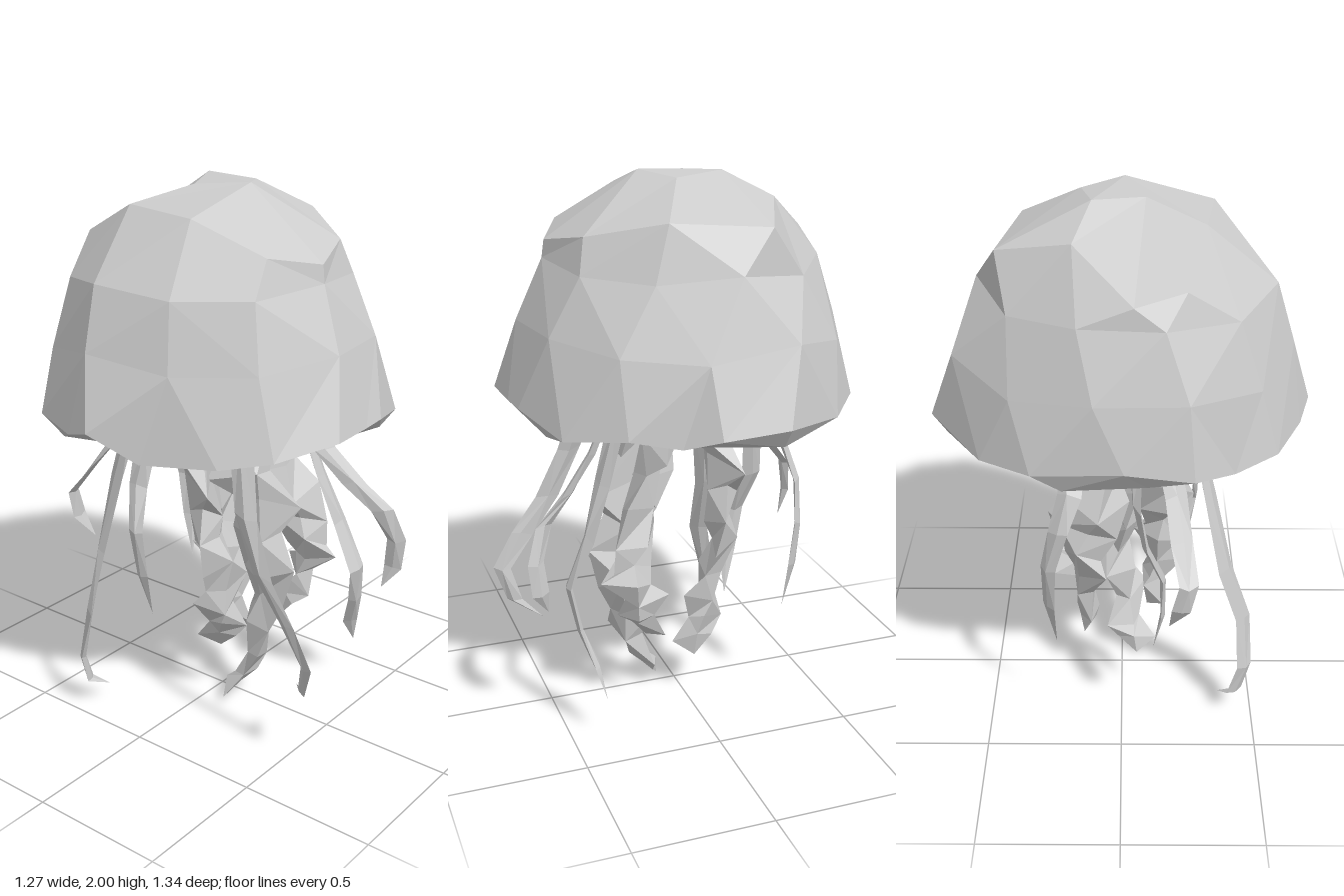
import * as THREE from 'three';

const TAU = Math.PI * 2;

// Ring through given x, y, z corners, sorted around the axis; f is the turn from 0 to 1
function corners(points) {
  return points.map(p => ({ f: (Math.atan2(p[2], p[0]) / TAU + 1) % 1, p })).sort((a, b) => a.f - b.f);
}

// Wavy rim of the bell
const RIM = corners([[0.62, 1.22, 0], [0.63, 1.22, 0.18], [0.51, 1.18, 0.38], [0.37, 1.16, 0.5],
  [0.12, 1.15, 0.6], [-0.05, 1.24, 0.67], [-0.17, 1.2, 0.63], [-0.4, 1.2, 0.53], [-0.5, 1.18, 0.38],
  [-0.63, 1.22, 0.24], [-0.635, 1.25, 0.01], [-0.57, 1.21, -0.3], [-0.43, 1.19, -0.48],
  [-0.17, 1.23, -0.67], [0.06, 1.21, -0.65], [0.17, 1.17, -0.57], [0.34, 1.2, -0.52],
  [0.52, 1.17, -0.36], [0.61, 1.22, -0.11]]);

function rimRadius(turn) {
  const t = (turn + 1) % 1;
  const n = RIM.length;
  const next = RIM.findIndex(v => v.f > t);
  const j = next < 0 ? 0 : next;
  const a = RIM[(j + n - 1) % n], b = RIM[j];
  const k = ((t - a.f + 1) % 1) / ((b.f - a.f + 1) % 1);
  return THREE.MathUtils.lerp(Math.hypot(a.p[0], a.p[2]), Math.hypot(b.p[0], b.p[2]), k);
}

// Ring following the rim outline: count, scale, height, turn, height ripple, x and z shift
function ring(count, scale, y, turn = 0, ripple = 0, dx = 0, dz = 0) {
  return Array.from({ length: count }, (_, i) => {
    const f = (i + turn) / count;
    const r = rimRadius(f) * scale;
    return { f, p: [Math.cos(f * TAU) * r + dx, y + ripple * Math.sin(i * 2.4 + 1), Math.sin(f * TAU) * r + dz] };
  });
}

// Joins two rings that may have different numbers of points
function stitch(low, up, out) {
  const at = (r, i) => r[i % r.length];
  const turn = (r, i) => at(r, i).f + Math.floor(i / r.length);
  let i = 0, j = 0;
  while (i < low.length || j < up.length) {
    const stepLow = j >= up.length || (i < low.length && turn(low, i + 1) <= turn(up, j + 1));
    if (stepLow) { out.push(...at(low, i).p, ...at(up, j).p, ...at(low, i + 1).p); i++; }
    else { out.push(...at(low, i).p, ...at(up, j).p, ...at(up, j + 1).p); j++; }
  }
}

function loftRings(rings) {
  const out = [];
  for (let k = 0; k < rings.length - 1; k++) stitch(rings[k], rings[k + 1], out);
  return out;
}

function meshFrom(name, positions, material) {
  const g = new THREE.BufferGeometry();
  g.setAttribute('position', new THREE.Float32BufferAttribute(positions, 3));
  g.computeVertexNormals();
  const m = new THREE.Mesh(g, material);
  m.name = name;
  return m;
}

// Tapered four-sided strand; wide and thin give its section, twist turns it, ruffle makes it jagged
function strand(name, points, { wide, thin, twist, ruffle, segments, material }) {
  const curve = new THREE.CatmullRomCurve3(points.map(p => new THREE.Vector3(...p)));
  const sections = [];
  for (let s = 0; s <= segments; s++) {
    const t = s / segments;
    const c = curve.getPoint(t);
    const taper = s === segments ? 0 : Math.min(0.6 + t * 2, 1.15 - 0.6 * t);
    const a0 = twist[0] + twist[1] * t;
    sections.push([0, 1, 2, 3].map(q => {
      const a = a0 + q * Math.PI / 2;
      const r = (q % 2 ? thin : wide) * taper * (1 + ruffle * Math.sin(s * 2.6 + q * 1.9));
      return [c.x + Math.cos(a) * r, c.y + ruffle * 0.08 * taper * Math.sin(s * 1.7 + q * 2.5), c.z + Math.sin(a) * r];
    }));
  }
  const out = [];
  for (let s = 0; s < segments; s++) {
    for (let q = 0; q < 4; q++) {
      const a = sections[s][q], b = sections[s][(q + 1) % 4];
      const c = sections[s + 1][q], d = sections[s + 1][(q + 1) % 4];
      if ((s + q) % 2) out.push(...a, ...b, ...c, ...b, ...d, ...c);
      else out.push(...a, ...b, ...d, ...a, ...d, ...c);
    }
  }
  return meshFrom(name, out, material);
}

export function createModel() {
  const model = new THREE.Group();
  model.name = 'jellyfish';
  const material = new THREE.MeshStandardMaterial({ color: 0xcccccc, flatShading: true, side: THREE.DoubleSide });
  material.name = 'pale grey';

  // Bell: faceted dome with a wavy rim and an uneven crown
  const crown = corners([[0.12, 1.92, 0.32], [-0.18, 1.93, 0.28], [-0.44, 1.8, 0.21], [-0.5, 1.77, 0.04],
    [-0.31, 1.91, -0.16], [-0.2, 1.85, -0.42], [0.14, 1.87, -0.35], [0.38, 1.81, -0.17],
    [0.46, 1.77, 0.05], [0.37, 1.81, 0.24]]);
  const peak = corners([[0.13, 2, 0.01], [-0.06, 1.985, 0.08], [-0.14, 2, -0.1], [0.04, 1.985, -0.14]]);
  model.add(meshFrom('bell', loftRings([
    RIM,
    ring(12, 0.91, 1.46, 0.3, 0.03, -0.015),
    ring(11, 0.78, 1.69, 0.1, 0.02, -0.02, 0.025),
    crown,
    peak,
    [{ f: 0, p: [0, 2, -0.04] }],
  ]), material));

  // Underside: lip tucked in below the rim, then the hollow
  model.add(meshFrom('bellUnderside', loftRings([
    [{ f: 0, p: [0, 1.56, 0] }],
    ring(8, 0.55, 1.49, 0.3),
    ring(11, 0.82, 1.35, 0.1, 0.02),
    ring(13, 0.93, 1.175, 0.2, 0.03),
    RIM,
  ]), material));

  // Thin trailing tentacles
  const tentacles = [
    [[-0.15, 1.5, 0.1], [-0.27, 1.18, 0.15], [-0.41, 0.95, 0.2], [-0.57, 0.73, 0.23], [-0.51, 0.56, 0.17]],
    [[-0.14, 1.5, -0.12], [-0.25, 1.16, -0.16], [-0.39, 0.95, -0.2], [-0.39, 0.68, -0.27], [-0.35, 0.37, -0.24]],
    [[-0.14, 1.5, 0.02], [-0.23, 1.15, 0.05], [-0.36, 0.87, 0.06], [-0.3, 0.58, 0.16], [-0.26, 0.27, 0.12]],
    [[-0.12, 1.5, 0.18], [-0.22, 1.1, 0.28], [-0.27, 0.7, 0.37], [-0.28, 0.38, 0.46], [-0.32, 0.13, 0.45], [-0.27, 0.07, 0.37]],
    [[0.16, 1.5, -0.1], [0.29, 1.05, -0.15], [0.38, 0.78, -0.2], [0.48, 0.53, -0.22], [0.41, 0.33, -0.28], [0.38, 0.17, -0.36]],
    [[0.18, 1.5, -0.08], [0.3, 1.14, -0.12], [0.44, 0.94, -0.18], [0.58, 0.8, -0.24], [0.6, 0.62, -0.28], [0.56, 0.5, -0.25]],
    [[0.16, 1.5, 0.12], [0.27, 1.13, 0.24], [0.36, 0.83, 0.3], [0.46, 0.64, 0.31], [0.6, 0.47, 0.31], [0.58, 0.32, 0.29], [0.48, 0.26, 0.18]],
  ];
  tentacles.forEach((p, i) => model.add(strand('tentacle' + (i + 1), p,
    { wide: 0.05, thin: 0.014, twist: [0.5 + i * 0.9, 1.2], ruffle: 0.12, segments: 7, material })));

  // Thick ruffled oral arms in the middle
  const arms = [
    [[-0.05, 1.55, -0.03], [-0.11, 1.12, -0.06], [-0.15, 0.85, -0.09], [-0.13, 0.6, -0.14], [-0.06, 0.36, -0.13], [-0.03, 0.17, -0.15]],
    [[0.08, 1.55, 0.02], [0.13, 1.12, 0.05], [0.2, 0.85, 0.04], [0.22, 0.58, 0.01], [0.19, 0.33, 0], [0.14, 0.12, 0.03], [0.055, 0, 0.06]],
    [[0, 1.55, 0.1], [-0.01, 1.15, 0.17], [0.04, 0.85, 0.17], [0.11, 0.6, 0.16], [0.11, 0.4, 0.15], [0.07, 0.24, 0.1]],
    [[0.06, 1.55, -0.08], [0.1, 1.12, -0.13], [0.18, 0.85, -0.16], [0.25, 0.6, -0.23], [0.21, 0.45, -0.24], [0.17, 0.3, -0.16]],
  ];
  arms.forEach((p, i) => model.add(strand('oralArm' + (i + 1), p,
    { wide: 0.115, thin: 0.06, twist: [i * 1.3, 3.6], ruffle: 0.42, segments: 12, material })));

  return model;
}
